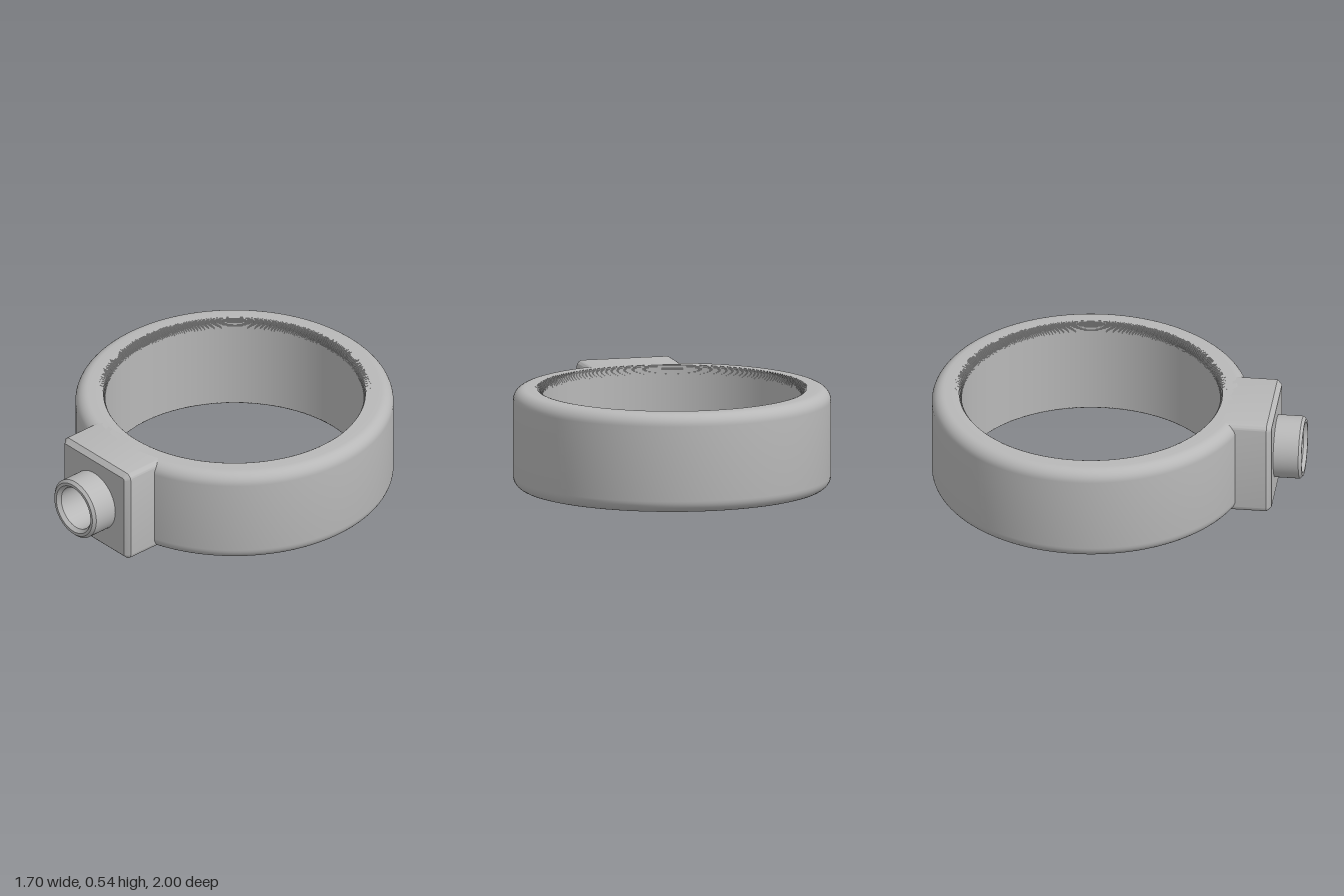
import * as THREE from 'three';
import { toCreasedNormals } from 'three/addons/utils/BufferGeometryUtils.js';

const H = 0.535;          // height of the collar
const RING_Z = -0.15;     // ring axis

const grey = new THREE.MeshStandardMaterial({ color: 0xb8b8b8 });
grey.name = 'grey';

function part(name, geometry) {
  const mesh = new THREE.Mesh(toCreasedNormals(geometry, 0.4), grey);
  mesh.name = name;
  return mesh;
}

// Quarter arc of profile points around (cx, cy)
function arc(cx, cy, r, from, steps = 8) {
  return Array.from({ length: steps + 1 }, (_, i) => {
    const a = from + (i / steps) * Math.PI / 2;
    return new THREE.Vector2(cx + r * Math.cos(a), cy + r * Math.sin(a));
  });
}

// Finely terraced version of an arc: level treads and upright risers
function terraced(points, riserFirst) {
  const out = [points[0]];
  for (let i = 1; i < points.length; i++) {
    const a = points[i - 1], b = points[i];
    out.push(riserFirst ? new THREE.Vector2(a.x, b.y) : new THREE.Vector2(b.x, a.y), b);
  }
  return out;
}

function ringGeometry() {
  const R = 0.85, r = 0.69, f = 0.065, e = 0.048, P = Math.PI;
  const profile = [
    ...terraced(arc(r + e, e, e, P, 12), true),             // lower inner edge
    ...arc(R - f, f, f, -P / 2),                            // lower outer edge
    ...arc(R - f, H - f, f, 0),                             // upper outer edge
    ...terraced(arc(r + e, H - e, e, P / 2, 12), false),    // upper inner edge
    new THREE.Vector2(r, e),                                // inner wall
  ];
  return new THREE.LatheGeometry(profile, 128);
}

// Rounded block with a chamfered front and a clearance hole for the nozzle
function blockGeometry() {
  const w = 0.265, h = H / 2, c = 0.035, b = 0.025;
  const s = new THREE.Shape();
  s.moveTo(-w + c, -h);
  s.lineTo(w - c, -h);
  s.absarc(w - c, -h + c, c, -Math.PI / 2, 0);
  s.absarc(w - c, h - c, c, 0, Math.PI / 2);
  s.absarc(-w + c, h - c, c, Math.PI / 2, Math.PI);
  s.absarc(-w + c, -h + c, c, Math.PI, Math.PI * 1.5);
  s.holes.push(new THREE.Path().absarc(0, 0, 0.14, 0, Math.PI * 2, true));
  const back = 0.565, front = 0.85;
  const g = new THREE.ExtrudeGeometry(s, {
    depth: front - back - 2 * b, bevelEnabled: true, bevelSegments: 1,
    bevelSize: b, bevelThickness: b, bevelOffset: -b, curveSegments: 10,
  });
  return g.translate(0, h, back + b);
}

// Short tube with chamfered rims and a blind bore
function nozzleGeometry() {
  const profile = [
    [0.168, 0.75], [0.168, 0.985], [0.153, 1], [0.137, 1],
    [0.12, 0.98], [0.12, 0.7], [0, 0.7],
  ].map(([x, y]) => new THREE.Vector2(x, y));
  return new THREE.LatheGeometry(profile, 64).rotateX(Math.PI / 2).translate(0, H / 2, 0);
}

export function createModel() {
  const model = new THREE.Group();
  model.name = 'collar';
  const ring = part('ring', ringGeometry());
  ring.position.z = RING_Z;
  model.add(ring, part('mountingBlock', blockGeometry()), part('nozzle', nozzleGeometry()));
  return model;
}
